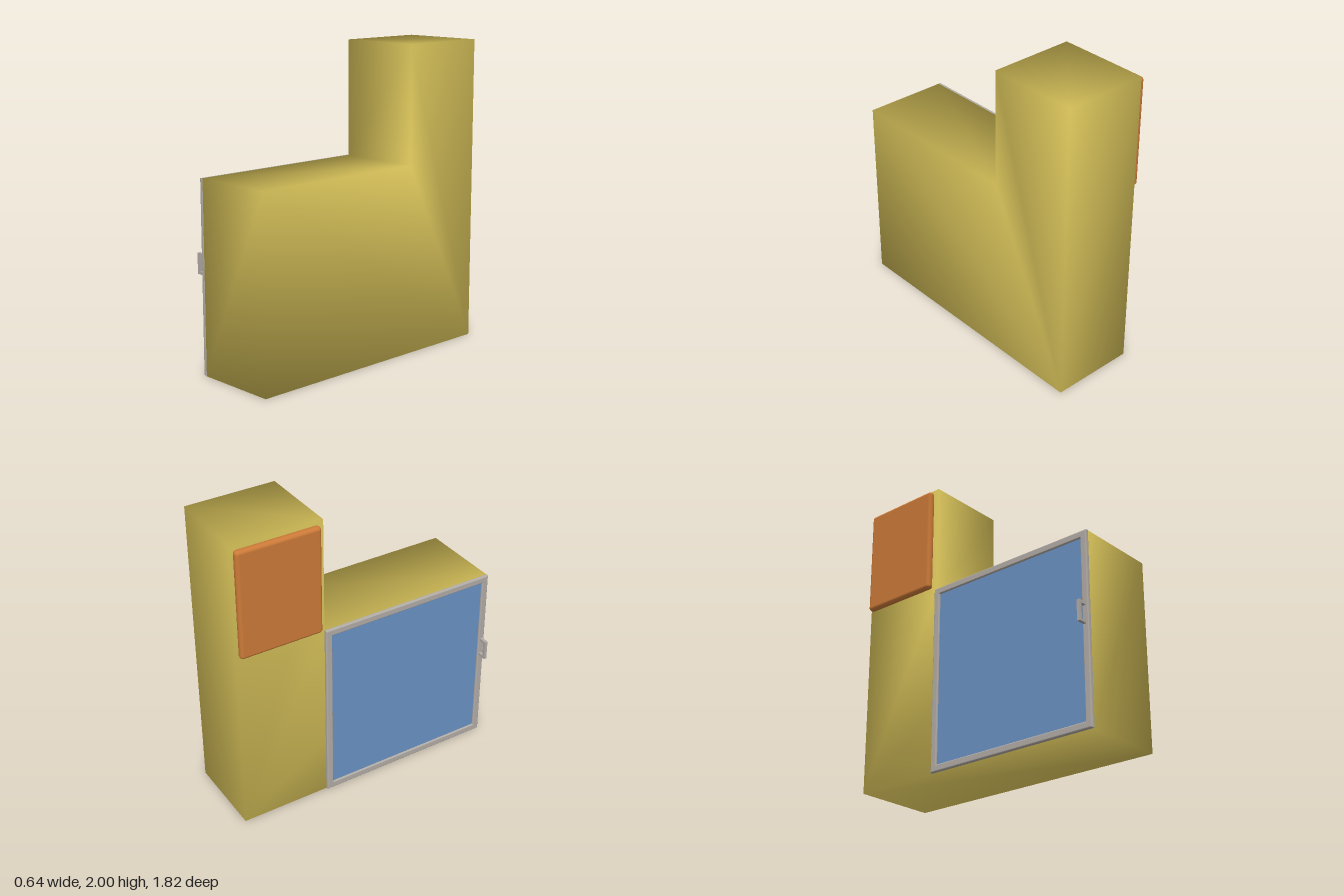
import * as THREE from 'three';
import { mergeVertices } from 'three/addons/utils/BufferGeometryUtils.js';
import { RoundedBoxGeometry } from 'three/addons/geometries/RoundedBoxGeometry.js';

const mat = (name, color) => {
  const m = new THREE.MeshStandardMaterial({ color });
  m.name = name;
  return m;
};

export function createModel() {
  const group = new THREE.Group();
  const mustard = mat('mustard', 0xd2bd57);
  const orange = mat('orange', 0xcc7a38);
  const grey = mat('grey', 0xb2aca6);
  const blue = mat('glass blue', 0x6a92c4);

  const add = (name, geometry, material, x = 0, y = 0, z = 0, parent = group) => {
    const mesh = new THREE.Mesh(geometry, material);
    mesh.name = name;
    mesh.position.set(x, y, z);
    parent.add(mesh);
    return mesh;
  };
  // Profiles are drawn as (z, y) and extruded towards -x
  const extrudeSide = (shape, options) =>
    new THREE.ExtrudeGeometry(shape, options).rotateY(-Math.PI / 2);
  const rectangle = (Type, z0, y0, z1, y1) => new Type([
    [z0, y0], [z1, y0], [z1, y1], [z0, y1],
  ].map(p => new THREE.Vector2(...p)));

  // L-shaped cabinet with normals blended over its corners
  const profile = new THREE.Shape([
    [-0.91, 0], [0.91, 0], [0.91, 1.24], [-0.31, 1.24], [-0.31, 2], [-0.91, 2],
  ].map(p => new THREE.Vector2(...p)));
  let body = extrudeSide(profile, { depth: 0.56, bevelEnabled: false });
  body.deleteAttribute('normal');
  body.deleteAttribute('uv');
  body = mergeVertices(body, 1e-4);
  body.computeVertexNormals();
  add('cabinet', body, mustard, 0.32);

  // Rounded frame around the door
  const bevel = 0.008;
  const frame = rectangle(THREE.Shape, -0.31 + bevel, 0.003 + bevel, 0.912 - bevel, 1.24 - bevel);
  frame.holes.push(rectangle(THREE.Path, -0.265 - bevel, 0.048 - bevel, 0.867 + bevel, 1.195 + bevel));
  add('doorFrame', extrudeSide(frame, {
    depth: 0.012, bevelThickness: bevel, bevelSize: bevel, bevelSegments: 4,
  }), grey, -0.24);

  // Glass pane
  add('doorGlass', new THREE.BoxGeometry(0.008, 1.17, 1.15), blue, -0.244, 0.6215, 0.301);

  // Bracket handle
  const handle = new THREE.Group();
  handle.name = 'handle';
  group.add(handle);
  add('handleGrip', new THREE.BoxGeometry(0.02, 0.134, 0.02), grey, -0.31, 0.7, 0.885, handle);
  for (const side of [-1, 1]) {
    add('handleArm', new THREE.BoxGeometry(0.05, 0.018, 0.02), grey,
      -0.275, 0.7 + side * 0.058, 0.885, handle);
  }

  // Raised panel on the tower
  add('towerPanel', new RoundedBoxGeometry(0.05, 0.72, 0.555, 4, 0.022), orange, -0.26, 1.62, -0.62);

  return group;
}
